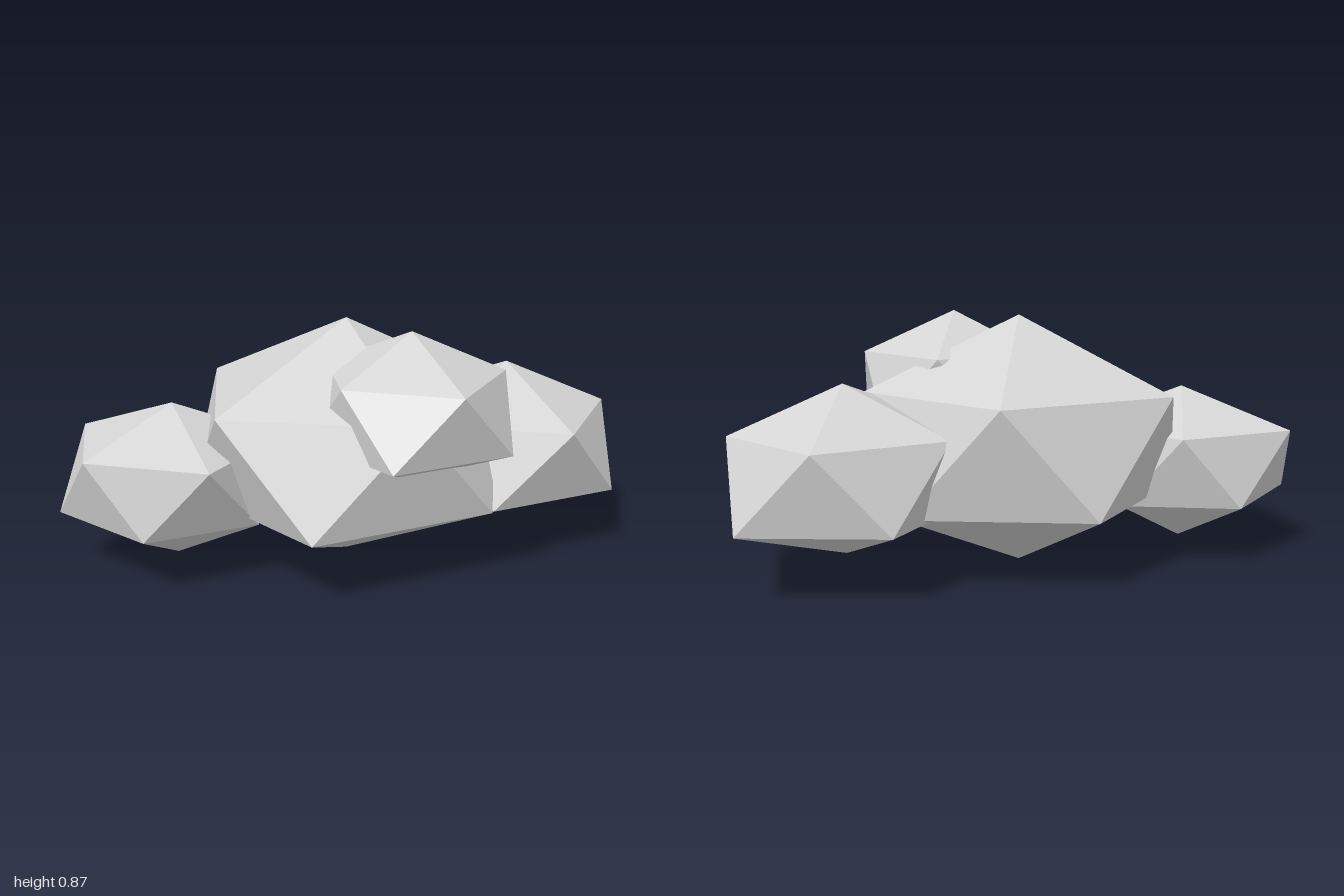
import * as THREE from 'three';

const stone = new THREE.MeshStandardMaterial({ color: 0xd4d4d4 });
stone.name = 'light grey stone';

// A rough twenty-sided rock: two poles and two staggered rings of five corners.
// at: [x, z] of the poles; y: heights of top, upper ring, lower ring, bottom;
// upper, lower: distance of each ring corner from the axis.
function rock({ name, at, y, upper, lower }) {
  const ring = (radii, height, turn) => radii.map((r, i) => {
    const a = (i + turn) * Math.PI * 2 / 5;
    return [at[0] + r * Math.cos(a), height, at[1] + r * Math.sin(a)];
  });
  const top = [at[0], y[0], at[1]];
  const bottom = [at[0], y[3], at[1]];
  const u = ring(upper, y[1], 0);
  const l = ring(lower, y[2], 0.5);
  const corners = [];
  for (let i = 0; i < 5; i++) {
    const n = (i + 1) % 5;
    corners.push(top, u[n], u[i]);
    corners.push(u[i], u[n], l[i]);
    corners.push(l[i], u[n], l[n]);
    corners.push(bottom, l[i], l[n]);
  }
  const geometry = new THREE.BufferGeometry();
  geometry.setAttribute('position', new THREE.Float32BufferAttribute(corners.flat(), 3));
  geometry.computeVertexNormals(); // unshared corners keep every facet flat
  const mesh = new THREE.Mesh(geometry, stone);
  mesh.name = name;
  return mesh;
}

const rocks = [
  {
    name: 'mainRock', at: [0.016, -0.055], y: [0.865, 0.613, 0.244, 0],
    upper: [0.535, 0.54, 0.58, 0.555, 0.51],
    lower: [0.57, 0.58, 0.56, 0.517, 0.55],
  },
  {
    name: 'rightRock', at: [-0.596, 0], y: [0.595, 0.458, 0.21, 0.04],
    upper: [0.37, 0.388, 0.36, 0.397, 0.347],
    lower: [0.345, 0.337, 0.404, 0.347, 0.35],
  },
  {
    name: 'leftRock', at: [0.626, -0.176], y: [0.66, 0.5, 0.23, 0.09],
    upper: [0.374, 0.436, 0.42, 0.397, 0.39],
    lower: [0.428, 0.432, 0.39, 0.39, 0.438],
  },
  {
    name: 'upperFrontRock', at: [0.203, 0.19], y: [0.865, 0.724, 0.492, 0.35],
    upper: [0.322, 0.352, 0.32, 0.33, 0.343],
    lower: [0.372, 0.38, 0.35, 0.35, 0.35],
  },
];

export function createModel() {
  const group = new THREE.Group();
  group.name = 'rockCluster';
  for (const spec of rocks) group.add(rock(spec));
  return group;
}
